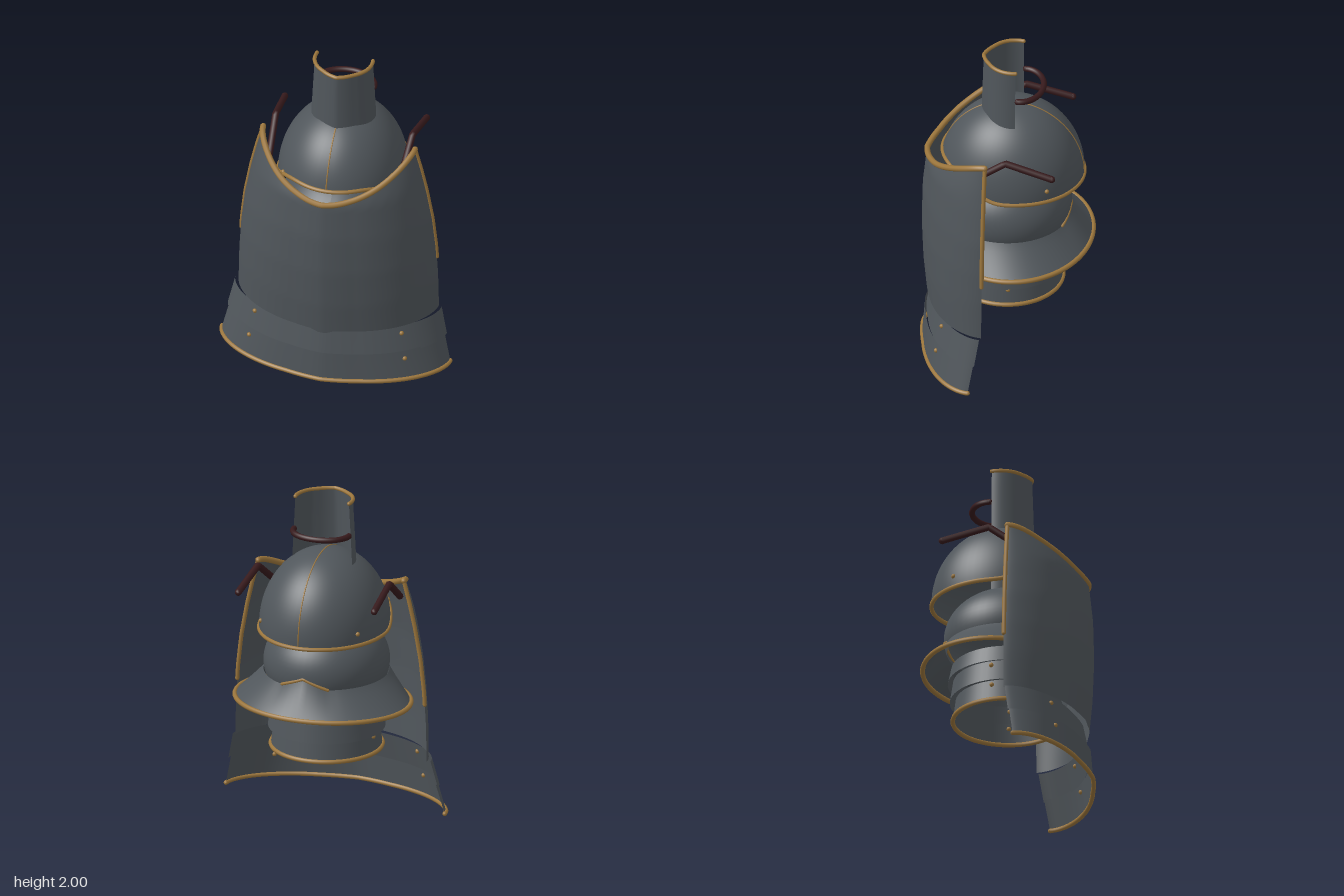
import * as THREE from 'three';

const { sin, cos, asin, sqrt, abs, max, min, PI } = Math;
const V = (x, y, z) => new THREE.Vector3(x, y, z);
const lerp = THREE.MathUtils.lerp;

// Piecewise-linear lookup through [key, value] pairs
function lookup(pairs, k) {
  for (let i = 1; i < pairs.length; i++) {
    const [k0, v0] = pairs[i - 1], [k1, v1] = pairs[i];
    if (k <= k1) return lerp(v0, v1, max(0, (k - k0) / (k1 - k0)));
  }
  return pairs[pairs.length - 1][1];
}

// Smooth sheet through f(u, v), with u and v from 0 to 1
function sheet(f, nu, nv) {
  const pos = [], idx = [];
  for (let j = 0; j <= nv; j++)
    for (let i = 0; i <= nu; i++) pos.push(...f(i / nu, j / nv).toArray());
  for (let j = 0; j < nv; j++)
    for (let i = 0; i < nu; i++) {
      const a = j * (nu + 1) + i, b = a + nu + 1;
      idx.push(a, a + 1, b + 1, a, b + 1, b);
    }
  const g = new THREE.BufferGeometry();
  g.setAttribute('position', new THREE.Float32BufferAttribute(pos, 3));
  g.setIndex(idx);
  g.computeVertexNormals();
  return g;
}

export function createModel() {
  const root = new THREE.Group();
  const steel = new THREE.MeshStandardMaterial({ color: 0x50565b, side: THREE.DoubleSide });
  const brass = new THREE.MeshStandardMaterial({ color: 0x9c763c });
  const leather = new THREE.MeshStandardMaterial({ color: 0x371a1c });
  steel.name = 'dark steel';
  brass.name = 'brass trim';
  leather.name = 'leather';

  function add(name, geo, mat, parent = root) {
    const m = new THREE.Mesh(geo, mat);
    m.name = name;
    parent.add(m);
    return m;
  }
  function group(name) {
    const g = new THREE.Group();
    g.name = name;
    root.add(g);
    return g;
  }
  // Rounded bead along the points f(t), t from 0 to 1, with ball ends when open
  function bead(name, f, r, parent, closed = false, mat = brass, n = 48) {
    const pts = [];
    for (let i = 0; i < n + (closed ? 0 : 1); i++) pts.push(f(i / n));
    const curve = new THREE.CatmullRomCurve3(pts, closed, 'centripetal');
    add(name, new THREE.TubeGeometry(curve, n * 2, r, 8, closed), mat, parent);
    if (!closed) for (const p of [pts[0], pts[n]])
      add(name + 'End', new THREE.SphereGeometry(r, 8, 6), mat, parent).position.copy(p);
  }
  const rivet = (p, parent) =>
    add('rivet', new THREE.SphereGeometry(0.014, 10, 8), brass, parent).position.copy(p);

  // Half-round front section: t from -1 to 1 across the body
  const section = (t, y, w, d, z0) => {
    const a = t * PI / 2;
    return V(w * sin(a), y, z0 + d * max(0, cos(a)) ** 1.15 + 0.015 * max(0, 1 - abs(t) * 5));
  };

  // Breastplate
  const breast = group('breastplate');
  const bw = [[0.34, 0.613], [0.6, 0.607], [0.8, 0.595], [1, 0.573], [1.2, 0.537], [1.35, 0.503], [1.5, 0.463]];
  const bd = [[0.34, 0.4], [0.55, 0.42], [0.8, 0.43], [1.05, 0.424], [1.28, 0.4], [1.37, 0.355], [1.5, 0.27]];
  const plate = (t, y) => section(t, y, lookup(bw, y), lookup(bd, y), 0.068);
  const neckY = t => 1.285 + 0.205 * abs(sin(t * PI / 2)) ** 1.9;
  const hemY = t => 0.36 - 0.018 * max(0, min(1, 3 - abs(t) * 50));
  add('breastShell', sheet((u, v) => {
    const t = u * 2 - 1;
    return plate(t, lerp(hemY(t), neckY(t), v));
  }, 80, 30), steel, breast);
  bead('neckTrim', u => plate(u * 2 - 1, neckY(u * 2 - 1)), 0.018, breast);
  for (const s of [-1, 1])
    bead('armholeTrim', u => plate(s, lerp(0.72, 1.49, u)), 0.013, breast, false, brass, 16);

  // Hip lames below the breastplate
  const hips = group('hipLames');
  const lames = [
    { y0: 0.19, y1: 0.36, w0: 0.67, w1: 0.632, d0: 0.365, d1: 0.355, z0: 0.103, z1: 0.078, rx: 0.45, ry: 0.31 },
    { y0: 0.015, y1: 0.2, w0: 0.7, w1: 0.656, d0: 0.355, d1: 0.37, z0: 0.137, z1: 0.108, rx: 0.477, ry: 0.15 },
  ];
  for (const l of lames) {
    const at = (t, v) => section(t, lerp(l.y0, l.y1, v), lerp(l.w0, l.w1, v), lerp(l.d0, l.d1, v), lerp(l.z0, l.z1, v));
    add('hipLame', sheet((u, v) => at(u * 2 - 1, v), 60, 4), steel, hips);
    const v = (l.ry - l.y0) / (l.y1 - l.y0);
    const t = asin(l.rx / lerp(l.w0, l.w1, v)) * 2 / PI;
    for (const s of [-1, 1]) rivet(at(s * t, v), hips);
    if (l.y0 < 0.1) bead('hemTrim', u => at(u * 2 - 1, 0), 0.014, hips);
  }

  // Shoulder straps: one bend each
  for (const s of [-1, 1]) {
    const path = new THREE.CurvePath();
    const p = [V(s * 0.405, 1.35, 0.16), V(s * 0.42, 1.505, -0.05), V(s * 0.435, 1.43, -0.33)];
    path.add(new THREE.LineCurve3(p[0], p[1]));
    path.add(new THREE.LineCurve3(p[1], p[2]));
    add('shoulderStrap', new THREE.TubeGeometry(path, 40, 0.021, 8), leather);
    add('strapEnd', new THREE.SphereGeometry(0.021, 8, 6), leather).position.copy(p[2]);
  }

  // Upper skull cap, rim raised over the face
  const cap = group('skullCap');
  const capAt = (a, phi) =>
    V(0.385 * cos(phi) * sin(a), 1.2 + 0.465 * sin(phi), -0.03 + 0.43 * cos(phi) * cos(a));
  const rimPhi = a => {
    const y = 1.18 + 0.14 * THREE.MathUtils.smoothstep(-0.03 + 0.43 * cos(a), -0.02, 0.36);
    return asin((y - 1.2) / 0.465);
  };
  add('capShell', sheet((u, v) => {
    const a = u * 2 * PI;
    return capAt(a, lerp(rimPhi(a), PI / 2, v));
  }, 64, 24), steel, cap);
  bead('capRim', u => capAt(u * 2 * PI, rimPhi(u * 2 * PI)), 0.013, cap, true);
  bead('capRidge', u => capAt(0, lerp(rimPhi(0), PI - rimPhi(PI), u)), 0.004, cap);
  for (const a of [0.93, 2.2, -0.93, -2.2]) rivet(capAt(a, abs(a) < 1 ? 0.2 : 0.11), cap);

  // Lower bowl with a flared neck guard
  const helm = group('brimmedHelm');
  add('bowl', sheet((u, v) => {
    const a = u * 2 * PI, phi = lerp(-0.3, PI / 2, v);
    return V(0.375 * cos(phi) * sin(a), 0.955 + 0.3 * sin(phi), 0.385 * cos(phi) * cos(a));
  }, 56, 20), steel, helm);
  const brimAt = (a, v) => {
    const peak = 0.06 * max(0, 1 - abs(a - PI) / 0.4);
    const k = v ** 1.1;
    return V(lerp(0.375, 0.535, k) * sin(a),
      lerp(0.895 + peak, 0.74 - 0.012 * (1 + cos(a)), v),
      lerp(0, -0.06, k) + lerp(0.38, 0.45, k) * cos(a));
  };
  add('neckGuard', sheet((u, v) => brimAt(u * 2 * PI, v), 72, 8), steel, helm);
  bead('brimTrim', u => brimAt(u * 2 * PI, 1), 0.015, helm, true);
  bead('peakTrim', u => brimAt(PI + (u - 0.5) * 0.8, 0), 0.01, helm, false, brass, 16);

  // Collar of overlapping rings
  const collar = group('collar');
  const rings = [[0.66, 0.76, 0.362, 0.34], [0.54, 0.67, 0.35, 0.33], [0.42, 0.55, 0.332, 0.315]];
  rings.forEach(([y0, y1, r0, r1], i) => {
    const g = new THREE.CylinderGeometry(r1, r0, y1 - y0, 56, 1, true);
    add('collarRing', g, steel, collar).position.y = (y0 + y1) / 2;
    if (i) for (const s of [-1, 1]) rivet(V(s * (r0 - 0.014), y1 - 0.03, -0.05), collar);
  });
  bead('collarTrim', u => V(0.332 * sin(u * 2 * PI), 0.42, 0.332 * cos(u * 2 * PI)), 0.014, collar, true);

  // Shin guard on top: keeled front, open back, strap behind
  const shin = group('shinGuard');
  const shinAt = (t, y) => {
    const a = t * PI * 0.555, s = 1 + 0.3 * (1.99 - y);
    const z = -0.045 + 0.165 * cos(a) + 0.022 * max(0, 1 - abs(t) * 3);
    return V(0.174 * s * sin(a), y, -0.08 + (z + 0.08) * sqrt(s));
  };
  add('shinShell', sheet((u, v) => shinAt(u * 2 - 1, lerp(1.15, 1.988, v)), 40, 8), steel, shin);
  bead('shinTrim', u => shinAt(u * 2 - 1, 1.988), 0.012, shin, false, brass, 32);
  bead('shinStrap', u => V(-0.175 * cos(u * PI), 1.787, -0.085 - 0.132 * sin(u * PI)), 0.018, shin, false, leather, 24);

  return root;
}
